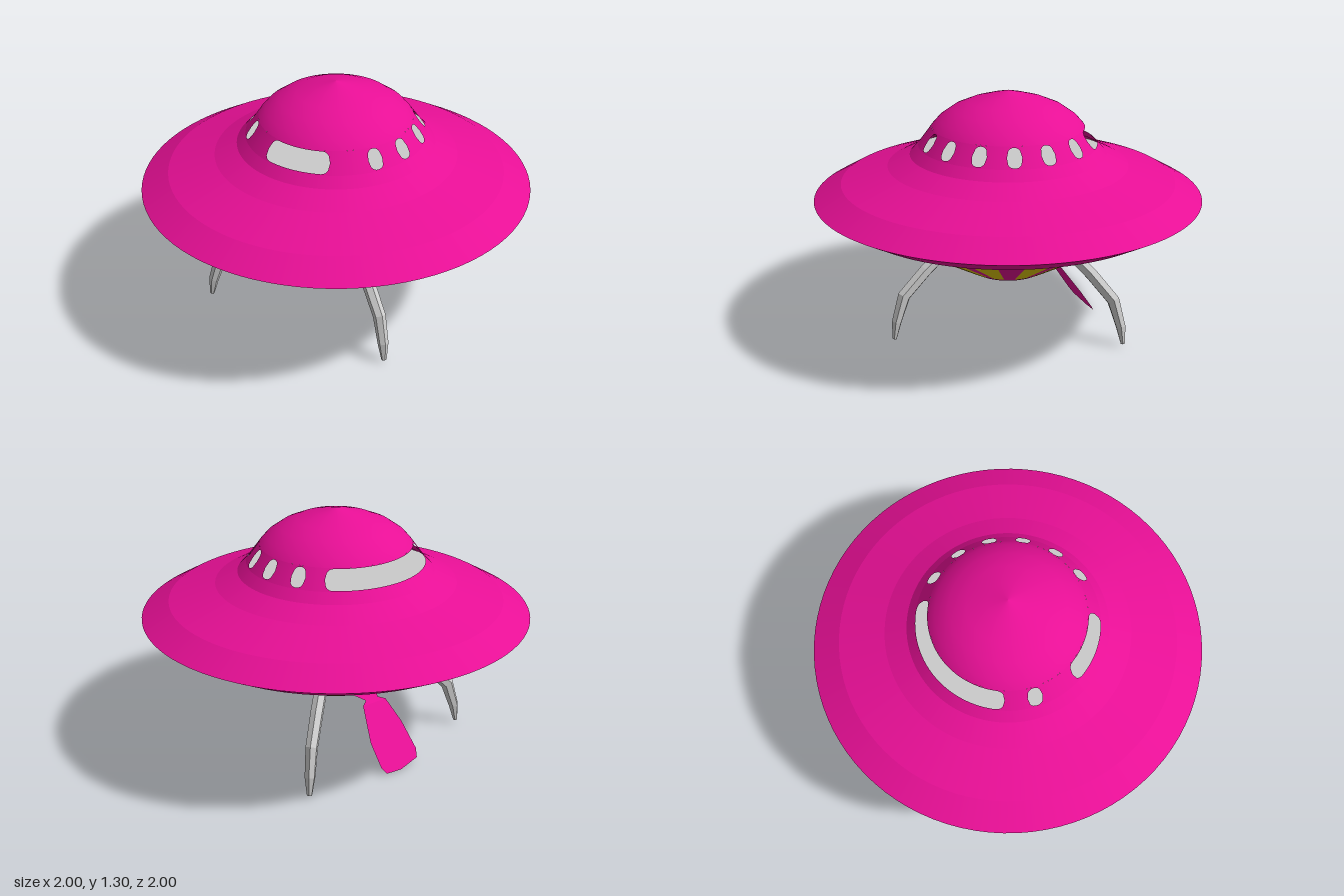
import * as THREE from 'three';

const SEG = 90;
const paint = (color, flatShading = false) =>
  new THREE.MeshStandardMaterial({ color, flatShading, side: THREE.DoubleSide });
const pink = paint(0xe80f96), yellow = paint(0xe6cc0c);
const grey = paint(0xcccccc), legGrey = paint(0xcccccc, true);

function addMesh(parent, name, geometry, material) {
  const mesh = new THREE.Mesh(geometry, material);
  mesh.name = name;
  parent.add(mesh);
  return mesh;
}

// Surface of revolution; points run from bottom to top as [radius, y]
const lathe = (points) =>
  new THREE.LatheGeometry(points.map(([r, y]) => new THREE.Vector2(r, y)), SEG);

// Half height (0 to 1) of a rounded opening at an angle in degrees
function openHeight(angle, openings) {
  for (const { at, half, cap, height } of openings) {
    const d = Math.abs(((angle - at + 900) % 360) - 180);
    if (d > half) continue;
    const u = Math.max(0, d - (half - cap)) / cap;
    return height * Math.pow(1 - Math.pow(u, 2.4), 1 / 2.4);
  }
  return 0;
}

// Conical wall from angle a0 to a1 in one degree steps, with rounded openings
function conePanel([r0, y0], [r1, y1], a0, a1, openings) {
  const pos = [], nor = [], idx = [];
  const slope = new THREE.Vector2(y1 - y0, r0 - r1).normalize();
  for (const upper of [false, true]) {
    for (let a = a0; a <= a1; a++) {
      const s = Math.sin((a * Math.PI) / 180), c = Math.cos((a * Math.PI) / 180);
      const h = openHeight(a, openings);
      for (const t of upper ? [0.5 + h, 1] : [0, 0.5 - h]) {
        const r = r0 + (r1 - r0) * t;
        pos.push(r * s, y0 + (y1 - y0) * t, r * c);
        nor.push(slope.x * s, slope.y, slope.x * c);
      }
      if (a < a1) {
        const i = pos.length / 3 - 2;
        idx.push(i, i + 2, i + 3, i, i + 3, i + 1);
      }
    }
  }
  const g = new THREE.BufferGeometry();
  g.setAttribute('position', new THREE.Float32BufferAttribute(pos, 3));
  g.setAttribute('normal', new THREE.Float32BufferAttribute(nor, 3));
  g.setIndex(idx);
  return g;
}

// Bent, tapering six-sided leg: stations are [reach, y, half width, half depth]
function legGeometry() {
  const st = [
    [0.33, 0.475, 0.034, 0.034], [0.45, 0.375, 0.034, 0.036], [0.575, 0.25, 0.032, 0.036],
    [0.62, 0.11, 0.028, 0.027], [0.635, 0.015, 0.014, 0.012],
  ];
  const g = new THREE.CylinderGeometry(1, 1, st.length - 1, 6, st.length - 1);
  const p = g.attributes.position;
  for (let i = 0; i < p.count; i++) {
    const k = Math.round((st.length - 1) / 2 - p.getY(i));
    const [r, y, w, d] = st[k];
    const a = st[Math.max(k - 1, 0)], b = st[Math.min(k + 1, st.length - 1)];
    const n = new THREE.Vector2(a[1] - b[1], b[0] - a[0]).normalize();
    const off = p.getZ(i) * d;
    p.setXYZ(i, p.getX(i) * w, y + n.y * off, r + n.x * off);
  }
  g.computeVertexNormals();
  return g;
}

export function createModel() {
  const model = new THREE.Group();
  model.name = 'flyingSaucer';

  // Plain hull rings
  const stripeLow = [0.235, 0.355], stripeHigh = [0.59, 0.565];
  const bandLow = [0.46, 1.02], bandHigh = [0.39, 1.115];
  const rings = [
    ['hullBottom', [0, 0.33], [0.195, 0.333]],
    ['hullBottomEdge', [0.195, 0.333], stripeLow],
    ['lowerHull', stripeHigh, [0.86, 0.675]],
    ['lowerRim', [0.86, 0.675], [1, 0.755]],
    ['upperRim', [1, 0.755], [0.86, 0.835]],
    ['upperHull', [0.86, 0.835], [0.62, 0.915]],
    ['shoulder', [0.62, 0.915], [0.505, 0.972]],
    ['domeBase', [0.505, 0.972], bandLow],
  ];
  for (const [name, a, b] of rings) addMesh(model, name, lathe([a, b]), pink);
  addMesh(model, 'domeTop', lathe([
    bandHigh, [0.355, 1.155], [0.285, 1.205], [0.2, 1.242], [0.1, 1.272], [0, 1.298],
  ]), pink);

  // Window band: round windows and two long ones
  const windows = [0, 23, 47, 70, 93, 117, 255].map((at) => ({ at, half: 5, cap: 5, height: 0.44 }));
  windows.push({ at: 185, half: 50, cap: 6, height: 0.46 }, { at: 307, half: 23, cap: 6, height: 0.46 });
  addMesh(model, 'windowBand', conePanel(bandLow, bandHigh, 0, 360, windows), pink);

  // Cabin floor
  const floor = addMesh(model, 'cabinFloor', new THREE.CircleGeometry(0.58, SEG), grey);
  floor.rotation.x = -Math.PI / 2;
  floor.position.y = 0.93;

  // Striped underside with the hatch opening at the back
  const hatch = [{ at: 186, half: 14, cap: 6, height: 0.48 }];
  const stripes = [
    [12, 42], [48, 61], [74, 88], [94, 106], [114, 127], [134, 147], [154, 166], [206, 218],
    [226, 238], [246, 258], [266, 278], [286, 298], [306, 320], [330, 348], [354, 366],
  ];
  let end = 6;
  for (const [a, b] of stripes) {
    addMesh(model, 'hullPanel', conePanel(stripeLow, stripeHigh, end, a, hatch), pink);
    addMesh(model, 'yellowStripe', conePanel(stripeLow, stripeHigh, a, b, hatch), yellow);
    end = b;
  }

  // Lowered hatch door, sloping down and back
  const door = new THREE.ShapeGeometry(new THREE.Shape([
    [-0.105, 0.305], [-0.15, 0.19], [-0.175, 0.06], [-0.16, 0.022], [-0.04, 0], [0.055, 0.005],
    [0.075, 0.035], [0.082, 0.15], [0.045, 0.305],
  ].map(([x, y]) => new THREE.Vector2(x, y))));
  const dp = door.attributes.position;
  for (let i = 0; i < dp.count; i++) dp.setZ(i, -0.5 + dp.getY(i) * 0.7);
  door.computeVertexNormals();
  addMesh(model, 'hatchDoor', door, pink);

  // Waisted hinge plate joining door and hull
  const hinge = new THREE.PlaneGeometry(1, 1, 1, 2);
  const rows = [[0.08, 0.338, -0.19], [0.04, 0.318, -0.265], [0.075, 0.305, -0.287]];
  const hp = hinge.attributes.position;
  for (let i = 0; i < hp.count; i++) {
    const [w, y, z] = rows[Math.round((0.5 - hp.getY(i)) * 2)];
    hp.setXYZ(i, -0.03 + Math.sign(hp.getX(i)) * w, y, z);
  }
  hinge.computeVertexNormals();
  addMesh(model, 'hatchHinge', hinge, pink);

  // Three legs, placed by foot position and facing angle
  const legShape = legGeometry();
  for (const [name, x, z, deg] of [
    ['frontLeg', -0.04, 0.635, 0], ['backLeftLeg', 0.5, -0.43, 131], ['backRightLeg', -0.62, -0.29, -110],
  ]) {
    const a = (deg * Math.PI) / 180;
    const leg = addMesh(model, name, legShape, legGrey);
    leg.rotation.y = a;
    leg.position.set(x - 0.635 * Math.sin(a), 0, z - 0.635 * Math.cos(a));
  }
  return model;
}
